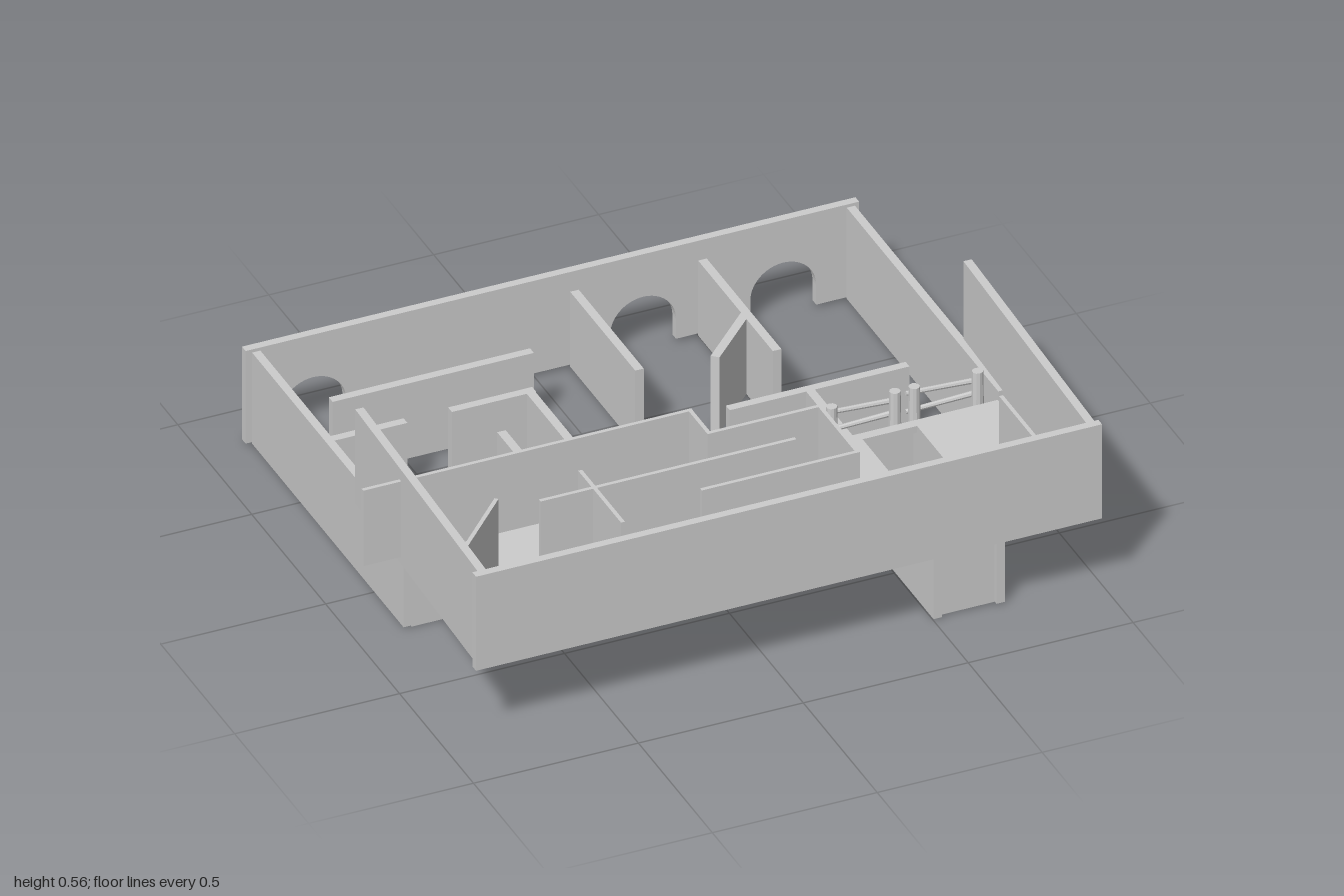
import * as THREE from 'three';

const mat = new THREE.MeshStandardMaterial({ color: 0xcccccc, flatShading: true });

export function createModel() {
  const root = new THREE.Group();
  root.name = 'twoLevelHouse';

  const add = (name, geo, parent = root) => {
    const m = new THREE.Mesh(geo, mat);
    m.name = name;
    parent.add(m);
    return m;
  };
  const group = (name) => {
    const g = new THREE.Group();
    g.name = name;
    root.add(g);
    return g;
  };
  // Straight wall between two plan points (centre line), thickness t, from y0 to y1
  const wall = (name, [x1, z1, x2, z2], t, y0, y1, parent = root) => {
    const dx = x2 - x1, dz = z2 - z1;
    const m = add(name, new THREE.BoxGeometry(Math.hypot(dx, dz), y1 - y0, t), parent);
    m.position.set((x1 + x2) / 2, (y0 + y1) / 2, (z1 + z2) / 2);
    m.rotation.y = -Math.atan2(dz, dx);
    return m;
  };

  // Back wall with three arched openings
  const back = new THREE.Shape();
  back.moveTo(-0.875, 0.01);
  for (const cx of [-0.67, 0.33, 0.755]) {
    back.lineTo(cx - 0.1, 0.01);
    back.lineTo(cx - 0.1, 0.075);
    back.absarc(cx, 0.075, 0.1, Math.PI, 0, true);
    back.lineTo(cx + 0.1, 0.01);
  }
  back.lineTo(0.985, 0.01);
  back.lineTo(0.985, 0.315);
  back.lineTo(-0.875, 0.315);
  back.closePath();
  add('backWall', new THREE.ExtrudeGeometry(back, { depth: 0.025, bevelEnabled: false, curveSegments: 16 }))
    .position.z = -0.845;

  // Lower outer walls
  wall('lowerSideWall', [-0.843, -0.82, -0.843, 0.205], 0.025, 0.005, 0.305);
  wall('lowerSideWall', [0.96, -0.82, 0.96, 0.205], 0.025, 0.005, 0.305);
  wall('lowerFrontWall', [-0.831, 0.188, 0.948, 0.188], 0.032, 0, 0.25);

  // Lower partitions
  const lower = group('lowerPartitions');
  [
    [-0.72, -0.59, -0.11, -0.59],
    [-0.83, -0.408, -0.575, -0.408],
    [-0.44, -0.408, -0.185, -0.408],
    [-0.2, -0.395, -0.2, 0.045],
    [-0.355, -0.25, -0.355, -0.115],
    [-0.455, -0.102, -0.213, -0.102],
    [-0.605, 0.005, -0.335, 0.172],
    [-0.195, -0.125, 0.115, 0.172],
    [0.122, -0.82, 0.122, -0.38],
    [0.51, -0.82, 0.51, -0.315],
    [0.34, -0.355, 0.505, -0.52],
    [0.265, -0.102, 0.81, -0.102],
    [0.51, -0.09, 0.51, 0.172],
    [0.23, 0.057, 0.498, 0.057],
  ].forEach((p) => wall('lowerPartition', p, 0.026, 0.003, 0.25, lower));

  // Upper floor with a stair opening (shape y runs along -z)
  const floor = new THREE.Shape([[-0.84, -0.81], [0.95, -0.81], [0.95, -0.2], [-0.84, -0.2]]
    .map(([x, y]) => new THREE.Vector2(x, y)));
  floor.holes.push(new THREE.Path([[0.525, -0.71], [0.525, -0.23], [0.69, -0.23], [0.69, -0.71]]
    .map(([x, y]) => new THREE.Vector2(x, y))));
  const slab = add('upperFloor', new THREE.ExtrudeGeometry(floor, { depth: 0.022, bevelEnabled: false }));
  slab.rotation.x = -Math.PI / 2;
  slab.position.y = 0.252;

  // Upper outer walls, the sides slightly skewed
  wall('upperFrontWall', [-0.918, 0.822, 0.98, 0.822], 0.025, 0.25, 0.56);
  wall('upperSideWall', [-0.862, -0.08, -0.89, 0.81], 0.025, 0.25, 0.56);
  wall('upperSideWall', [0.982, -0.08, 0.955, 0.81], 0.025, 0.25, 0.56);

  // Thin upper partitions
  const upper = group('upperPartitions');
  [
    [-1, 0.249, 0, 0.249],
    [-0.007, 0.255, -0.007, 0.382],
    [-0.001, 0.376, 0.335, 0.376],
    [0.329, 0.37, 0.329, 0.637],
    [-0.145, 0.631, 0.323, 0.631],
    [-0.575, 0.5, 0.2, 0.5],
    [-0.41, 0.405, -0.41, 0.695],
    [-0.878, 0.65, -0.68, 0.442],
    [0.808, 0.535, 0.808, 0.81],
  ].forEach((p) => wall('upperPartition', p, 0.012, 0.274, 0.523, upper));

  // Stairwell enclosure below the upper floor
  const well = group('stairwell');
  wall('stairwellSide', [0.512, 0.205, 0.512, 0.767], 0.025, 0.005, 0.252, well);
  wall('stairwellSide', [0.703, 0.205, 0.703, 0.767], 0.025, 0.005, 0.252, well);
  wall('stairwellEnd', [0.525, 0.745, 0.69, 0.745], 0.02, 0.005, 0.252, well);

  // Stairs climbing towards the front
  const stairs = group('stairs');
  const steps = 24, run = 0.48 / steps, rise = 0.262 / steps;
  for (let i = 0; i < steps; i++) {
    const step = add('step', new THREE.BoxGeometry(0.165, rise * 2, run), stairs);
    step.position.set(0.6075, 0.01 + rise * i, 0.23 + run * (i + 0.5));
  }

  // Rustic fence along the floor edge: seven panels of two posts and crooked rails
  const fence = group('fence');
  for (let i = 0; i < 7; i++) {
    const x = -0.705 + i * 0.2505;
    for (const s of [-1, 1]) {
      const post = add('fencePost', new THREE.CylinderGeometry(0.016, 0.018, 0.13, 10), fence);
      post.position.set(x + s * 0.096, 0.31, 0.184);
    }
    [[0.29, 0.03], [0.34, -0.06]].forEach(([y, tilt]) => {
      const rail = add('fenceRail', new THREE.CylinderGeometry(0.007, 0.009, 0.23, 8), fence);
      rail.position.set(x, y, 0.168);
      rail.rotation.z = Math.PI / 2 + tilt;
    });
  }
  return root;
}
